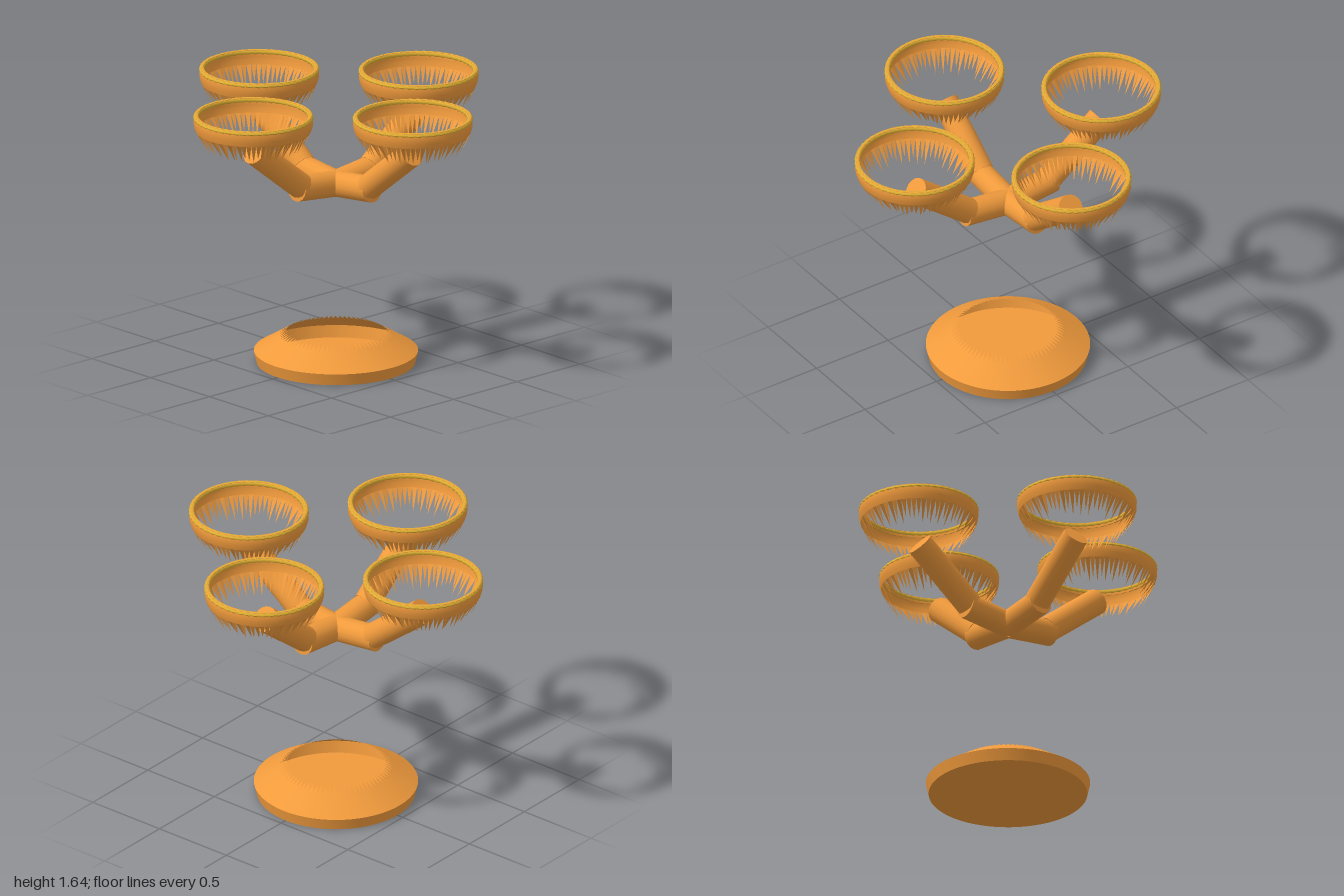
import * as THREE from 'three';
import { toCreasedNormals } from 'three/addons/utils/BufferGeometryUtils.js';

const orange = new THREE.MeshStandardMaterial({ color: 0xf09a3c, side: THREE.DoubleSide });
const gold = new THREE.MeshStandardMaterial({ color: 0xe0b032, side: THREE.DoubleSide });

function add(parent, name, geometry, material = orange) {
  const mesh = new THREE.Mesh(geometry, material);
  mesh.name = name;
  parent.add(mesh);
  return mesh;
}

// Lathe with sharp edges between the profile's straight runs
function turned(points, segments = 64) {
  const profile = points.map(([r, y]) => new THREE.Vector2(r, y));
  return toCreasedNormals(new THREE.LatheGeometry(profile, segments), 0.4);
}

// Ring of pointed teeth from a base circle to tips given by tip(i) = [radius, y]
function teeth(count, baseR, baseY, tip) {
  const pos = [];
  const put = (r, y, a) => pos.push(r * Math.sin(a), y, r * Math.cos(a));
  const step = (Math.PI * 2) / count;
  for (let i = 0; i < count; i++) {
    const [r, y] = tip(i);
    const corners = [[baseR, baseY, i * step], [baseR, baseY, (i + 1) * step], [r, y, (i + 0.5) * step]];
    if (y < baseY) corners.reverse();
    corners.forEach((c) => put(...c));
  }
  const g = new THREE.BufferGeometry();
  g.setAttribute('position', new THREE.Float32BufferAttribute(pos, 3));
  g.computeVertexNormals();
  return g;
}

// Torus whose surface is twisted into rope strands
function rope(radius, tube, strands, turns) {
  const g = new THREE.TorusGeometry(radius, tube, 10, 192);
  const p = g.attributes.position;
  for (let i = 0; i < p.count; i++) {
    const u = Math.atan2(p.getY(i), p.getX(i));
    const d = Math.hypot(p.getX(i), p.getY(i)) - radius;
    const v = Math.atan2(p.getZ(i), d);
    const k = 0.88 + 0.12 * Math.cos(strands * v + turns * u);
    const r = radius + d * k;
    p.setXYZ(i, r * Math.cos(u), r * Math.sin(u), p.getZ(i) * k);
  }
  g.computeVertexNormals();
  return g.rotateX(-Math.PI / 2);
}

// Capped cylinder between two points in the x-y plane
function rod(parent, name, x0, y0, x1, y1) {
  const mesh = add(parent, name, new THREE.CylinderGeometry(0.077, 0.077, Math.hypot(x1 - x0, y1 - y0), 16));
  mesh.position.set((x0 + x1) / 2, (y0 + y1) / 2, 0);
  mesh.rotation.z = Math.atan2(y1 - y0, x1 - x0) - Math.PI / 2;
}

function createDish() {
  const dish = new THREE.Group();
  dish.name = 'dish';
  add(dish, 'dishBand', turned([[0.336, 1.545], [0.345, 1.575], [0.347, 1.61], [0.34, 1.637], [0.322, 1.637], [0.318, 1.6]]));
  // Mostly even teeth, with every few reaching further inward
  add(dish, 'dishTeeth', teeth(72, 0.336, 1.545, (i) => {
    const long = (i * i * 7 + i * 3) % 11 < 2;
    return long ? [0.25, 1.425] : [0.285, 1.435 + 0.01 * ((i * 5) % 3)];
  }));
  const rim = add(dish, 'dishRim', rope(0.331, 0.018, 2, 48), gold);
  rim.position.y = 1.623;
  return dish;
}

export function createModel() {
  const model = new THREE.Group();
  model.name = 'candelabra';

  // Hollow foot with a toothed opening
  const base = new THREE.Group();
  base.name = 'base';
  add(base, 'baseShell', turned([[0, 0], [0.46, 0], [0.476, 0.07], [0.33, 0.157]]));
  add(base, 'baseTeeth', teeth(72, 0.33, 0.157, () => [0.28, 0.188]));
  model.add(base);

  // Four bent arms, each below a dish
  for (let i = 0; i < 4; i++) {
    const branch = new THREE.Group();
    branch.name = 'branch' + (i + 1);
    rod(branch, 'innerArm', 0, 1.08, 0.31, 1.115);
    rod(branch, 'outerArm', 0.28, 1.125, 0.645, 1.41);
    const dish = createDish();
    dish.position.x = 0.653;
    branch.add(dish);
    branch.rotation.y = (i * Math.PI) / 2;
    model.add(branch);
  }
  return model;
}
